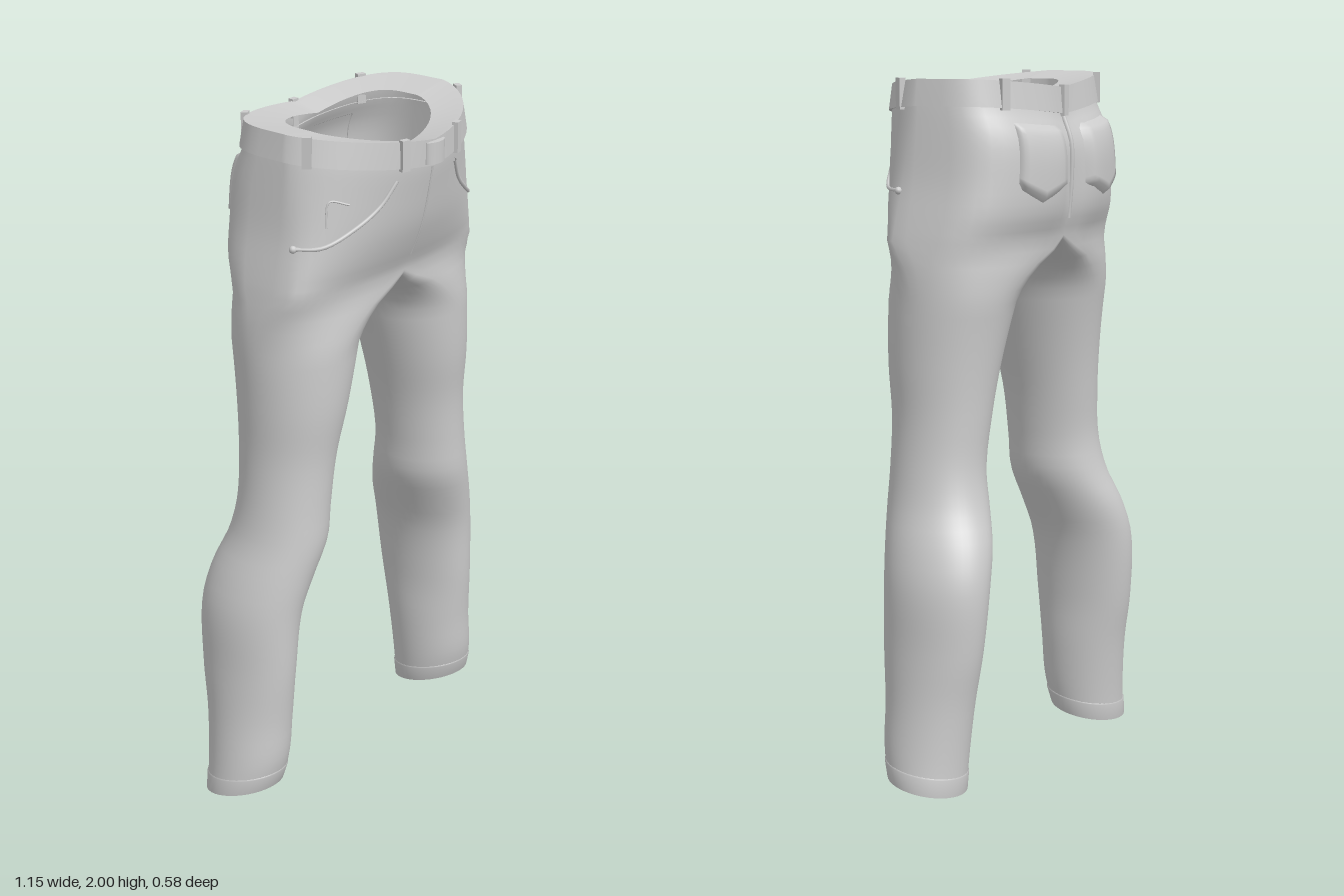
import * as THREE from 'three';
import { mergeGeometries, mergeVertices } from 'three/addons/utils/BufferGeometryUtils.js';

const { lerp, clamp, smoothstep, mapLinear } = THREE.MathUtils;
const PI = Math.PI;
const cloth = new THREE.MeshStandardMaterial({ color: 0xcccccc, side: THREE.DoubleSide });

// Cross-sections of one half: inner x, outer x, front z, back z, and how far the leg has joined the pelvis
const heights = [0.02, 0.1, 0.25, 0.4, 0.6, 0.7, 0.8, 0.9, 1.05, 1.2, 1.38, 1.48, 1.55, 1.62, 1.7, 1.8, 1.88, 1.95];
const sections = [
  [0.345, 0.572, 0.06, -0.162, 0],
  [0.335, 0.563, 0.08, -0.165, 0],
  [0.325, 0.545, 0.088, -0.18, 0],
  [0.32, 0.535, 0.1, -0.205, 0],
  [0.29, 0.525, 0.11, -0.215, 0],
  [0.25, 0.5, 0.125, -0.2, 0],
  [0.21, 0.465, 0.14, -0.165, 0],
  [0.2, 0.445, 0.14, -0.145, 0],
  [0.175, 0.43, 0.145, -0.15, 0],
  [0.135, 0.43, 0.165, -0.165, 0],
  [0.08, 0.43, 0.175, -0.195, 0],
  [0.05, 0.425, 0.178, -0.22, 0.4],
  [0, 0.415, 0.18, -0.235, 1],
  [0, 0.4, 0.21, -0.265, 1],
  [0, 0.38, 0.24, -0.275, 1],
  [0, 0.365, 0.262, -0.265, 1],
  [0, 0.355, 0.275, -0.22, 1],
  [0, 0.345, 0.275, -0.21, 1],
];
const profile = new THREE.CubicInterpolant(heights, new Float32Array(sections.flat()), 5);

// Point on the cloth: t runs front (0), outer side, back (PI), inner side; k scales about the section centre
function clothPoint(y, t, k = 1) {
  const [xi, xo, zf, zb, join] = profile.evaluate(y);
  const s = clamp(join, 0, 1);
  const sin = Math.sin(t), cos = Math.cos(t);
  const cx = (xi + xo) / 2, rx = (xo - xi) / 2;
  const zc = lerp((zf + zb) / 2, 0.04, s);
  const x = lerp(cx + rx * sin, xo * Math.max(sin, 0), s);
  const frontPower = lerp(1, mapLinear(y, 1.55, 1.9, 0.5, 1.25), s);
  const backPower = lerp(1, 0.5, s);
  let z = cos >= 0 ? zc + (zf - zc) * Math.pow(cos, frontPower)
    : zc + (zb - zc) * Math.pow(-cos, backPower);
  // dip between the two sides of the seat
  if (cos < 0 && y > 1.5 && y < 1.9) {
    z += 0.03 * s * -cos * Math.sin((y - 1.5) / 0.4 * PI) * Math.exp(-((x / 0.06) ** 2));
  }
  // waist rises at the sides, hem is lower at the back, crotch sags
  const lift = smoothstep(y, 1.6, 1.88) * (0.04 * Math.max(sin, 0) + 0.01 * (1 - cos));
  const hem = 0.022 * cos * (1 - smoothstep(y, 0.02, 0.3));
  const sag = 0.04 * s * Math.min(sin, 0);
  const mx = cx * (1 - s);
  return new THREE.Vector3(mx + (x - mx) * k, y + lift + hem + sag, zc + (z - zc) * k);
}

// Grid surface from a rule f(u, v)
function grid(f, nu, nv) {
  const pos = [], index = [];
  for (let j = 0; j <= nv; j++) {
    for (let i = 0; i <= nu; i++) pos.push(...f(i / nu, j / nv).toArray());
  }
  for (let j = 0; j < nv; j++) {
    for (let i = 0; i < nu; i++) {
      const a = j * (nu + 1) + i, b = a + 1, c = a + nu + 1, d = c + 1;
      index.push(a, b, c, b, d, c);
    }
  }
  const g = new THREE.BufferGeometry();
  g.setAttribute('position', new THREE.Float32BufferAttribute(pos, 3));
  g.setIndex(index);
  return g;
}

function mirrored(g) {
  const m = g.clone().scale(-1, 1, 1);
  const ix = m.index.array;
  for (let i = 0; i < ix.length; i += 3) [ix[i], ix[i + 1]] = [ix[i + 1], ix[i]];
  return m;
}

// Weld parts into one smooth surface
function weld(parts) {
  const g = mergeVertices(mergeGeometries(parts), 1e-4);
  g.computeVertexNormals();
  return g;
}

// Band following the cloth through [height, scale] steps
const band = (steps, t1, n) => grid((u, v) => {
  const [y, k] = steps[Math.round(v * (steps.length - 1))];
  return clothPoint(y, u * t1, k);
}, n, steps.length - 1);

export function createModel() {
  const model = new THREE.Group();
  model.name = 'trousers';
  const add = (name, geometry, parent = model) => {
    const mesh = new THREE.Mesh(geometry, cloth);
    mesh.name = name;
    parent.add(mesh);
    return mesh;
  };
  const seam = (name, points, radius, side = 1) => {
    const curve = new THREE.CatmullRomCurve3(points.map(([y, t, k = 1.005]) => {
      const p = clothPoint(y, t, k);
      p.x *= side;
      return p;
    }));
    return add(name, new THREE.TubeGeometry(curve, 24, radius, 6));
  };

  // Legs and seat, one welded cloth
  const leg = grid((u, v) => clothPoint(lerp(0.022, 1.55, v), u * 2 * PI), 48, 44);
  const seat = grid((u, v) => clothPoint(lerp(1.55, 1.9, v), u * PI), 24, 14);
  add('legsAndSeat', weld([leg, mirrored(leg), seat, mirrored(seat)]));

  // Belt band, with flat faces kept apart so its edges stay sharp
  const belt = new THREE.Group();
  belt.name = 'belt';
  model.add(belt);
  const beltFaces = {
    beltUnderside: [[1.875, 0.98], [1.875, 1.035]],
    beltOuterFace: [[1.875, 1.035], [1.95, 1.035]],
    waistLedge: [[1.95, 1.035], [1.947, 0.97], [1.93, 0.68]],
  };
  for (const [name, steps] of Object.entries(beltFaces)) {
    const half = band(steps, PI, 32);
    add(name, weld([half, mirrored(half)]), belt);
  }

  // Belt loops
  const loopAt = (t, side, width) => {
    const p = clothPoint(1.913, t, 1.04);
    const d = clothPoint(1.913, t + 0.03).sub(clothPoint(1.913, t - 0.03));
    const loop = add('beltLoop', new THREE.BoxGeometry(width, 0.088, 0.018), belt);
    loop.position.set(p.x * side, p.y, p.z);
    loop.rotation.y = side * Math.atan2(-d.z, d.x);
  };
  for (const side of [-1, 1]) {
    loopAt(0.33, side, 0.026);
    loopAt(1.2, side, 0.026);
    loopAt(PI - 0.78, side, 0.026);
  }
  const backLoop = add('beltLoop', new THREE.BoxGeometry(0.024, 0.088, 0.018), belt);
  backLoop.position.copy(clothPoint(1.913, PI, 1.035));

  // Buckle
  const buckle = add('buckle', new THREE.CylinderGeometry(0.04, 0.04, 0.062, 12, 1, false, -PI / 2, PI), belt);
  buckle.scale.z = 0.5;
  buckle.position.set(0, 1.915, 0.28);

  for (const side of [-1, 1]) {
    // Back pocket: raised patch with a pointed lower edge
    const patch = grid((u, v) => {
      const inset = Math.min(u, 1 - u, v, 1 - v);
      const bottom = 1.65 + 0.04 * Math.abs(2 * u - 1);
      const k = inset < 0.01 ? 0.99 : 1.05;
      return clothPoint(lerp(bottom, 1.84, v), PI - lerp(0.75, 0.15, u), k);
    }, 12, 12);
    add('backPocket', weld([side > 0 ? patch : mirrored(patch)]));

    // Front pocket seam and rivet
    const path = [[1.84, 0.37], [1.775, 0.5], [1.725, 0.72], [1.685, 1.05], [1.68, 1.4]];
    seam('frontPocketSeam', path, 0.006, side);
    const rivet = add('pocketRivet', new THREE.SphereGeometry(0.011, 10, 8));
    rivet.position.copy(clothPoint(1.68, 1.4, 1.005));
    rivet.position.x *= side;

    // Turned hem
    const hem = band([[0.022, 0.97], [0.022, 1.02], [0.07, 1.025], [0.075, 0.99]], 2 * PI, 40);
    add('hem', weld([side > 0 ? hem : mirrored(hem)]));
  }

  // Coin pocket edge on the right, and centre seams
  seam('coinPocketSeam', [[1.73, 1.02], [1.79, 1.0], [1.785, 0.8]], 0.003, -1);
  seam('backSeam', [[1.87, PI], [1.8, PI], [1.7, PI], [1.6, PI]], 0.008);
  seam('flySeam', [[1.87, 0], [1.78, 0], [1.68, 0], [1.6, 0]], 0.003);
  return model;
}
